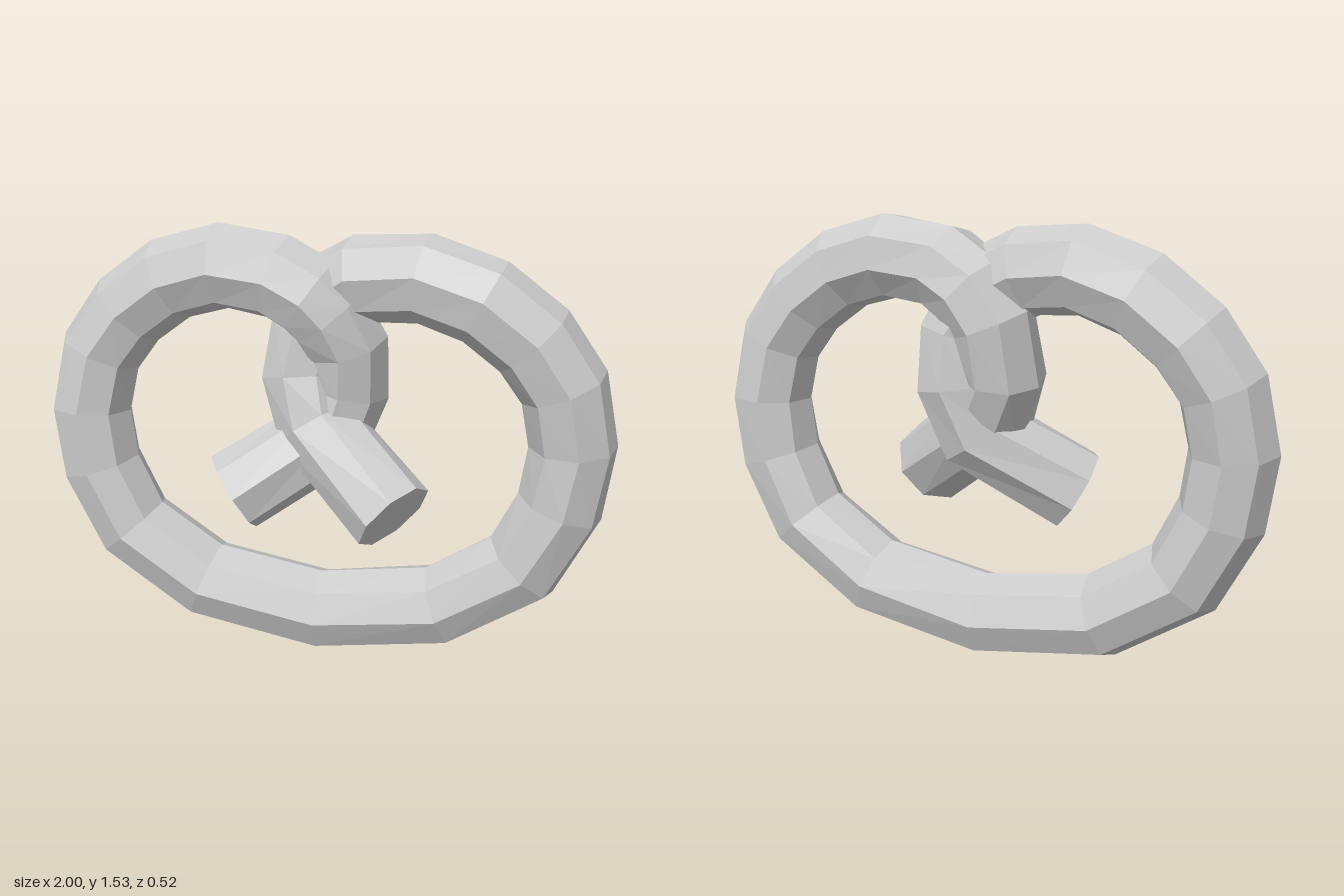
import * as THREE from 'three';

const SIDES = 8;
const RADIUS = 0.147;

// Centre line of the dough rope, from one end round both lobes to the other: x, y, z
const PATH = [
  // first end and the inner twist
  [-0.29, 0.615, 0.045], [0.02, 0.815, -0.08], [0.08, 0.98, -0.10], [0.08, 1.14, -0.08],
  [0.02, 1.25, -0.05], [-0.04, 1.31, -0.04],
  // right lobe
  [-0.15, 1.365, -0.05], [-0.35, 1.385, -0.08], [-0.55, 1.325, -0.10], [-0.71, 1.205, -0.10],
  [-0.815, 1.055, -0.085], [-0.855, 0.85, -0.065], [-0.825, 0.635, -0.06],
  // bottom arc
  [-0.71, 0.405, -0.06], [-0.43, 0.22, -0.06], [0, 0.15, -0.06], [0.43, 0.22, -0.06],
  [0.71, 0.405, -0.06],
  // left lobe
  [0.825, 0.635, -0.06], [0.855, 0.85, -0.06], [0.815, 1.055, -0.045], [0.71, 1.205, -0.035],
  [0.55, 1.325, -0.03], [0.35, 1.385, -0.05], [0.13, 1.365, -0.09],
  // inner twist and second end
  [0.02, 1.3, -0.115], [-0.05, 1.2, -0.115], [-0.075, 1.02, -0.09], [-0.01, 0.85, -0.045],
  [0.295, 0.615, 0.13],
].map((p) => new THREE.Vector3(...p));

// Sweeps a polygon along the path, with mitred rings and flat end caps
function ropeGeometry(path) {
  const pos = [];
  const index = [];
  const last = path.length - 1;

  path.forEach((c, i) => {
    const before = c.clone().sub(path[Math.max(i - 1, 0)]).normalize();
    const after = path[Math.min(i + 1, last)].clone().sub(c).normalize();
    const t = before.add(after).normalize();
    const n = new THREE.Vector3(0, 0, 1).addScaledVector(t, -t.z).normalize();
    const b = t.clone().cross(n);
    // slight roll building up after the bottom arc
    const roll = 0.2 * THREE.MathUtils.clamp((i - 15) / 4, 0, 1);
    for (let j = 0; j < SIDES; j++) {
      const a = (j / SIDES) * Math.PI * 2 + roll;
      const p = c.clone()
        .addScaledVector(n, Math.cos(a) * RADIUS)
        .addScaledVector(b, Math.sin(a) * RADIUS);
      pos.push(p.x, p.y, p.z);
    }
  });

  for (let i = 0; i < last; i++) {
    for (let j = 0; j < SIDES; j++) {
      const k = (j + 1) % SIDES;
      const p = i * SIDES;
      const q = p + SIDES;
      index.push(p + j, p + k, q + j, p + k, q + k, q + j);
    }
  }

  // end caps
  const e = last * SIDES;
  for (let j = 1; j < SIDES - 1; j++) {
    index.push(0, j + 1, j);
    index.push(e, e + j, e + j + 1);
  }

  const g = new THREE.BufferGeometry();
  g.setAttribute('position', new THREE.Float32BufferAttribute(pos, 3));
  g.setIndex(index);
  const flat = g.toNonIndexed();
  flat.computeVertexNormals();
  return flat;
}

export function createModel() {
  const group = new THREE.Group();
  group.name = 'pretzel';
  const material = new THREE.MeshStandardMaterial({ color: 0xcccccc, flatShading: true });
  const rope = new THREE.Mesh(ropeGeometry(PATH), material);
  rope.name = 'doughRope';
  group.add(rope);
  return group;
}
